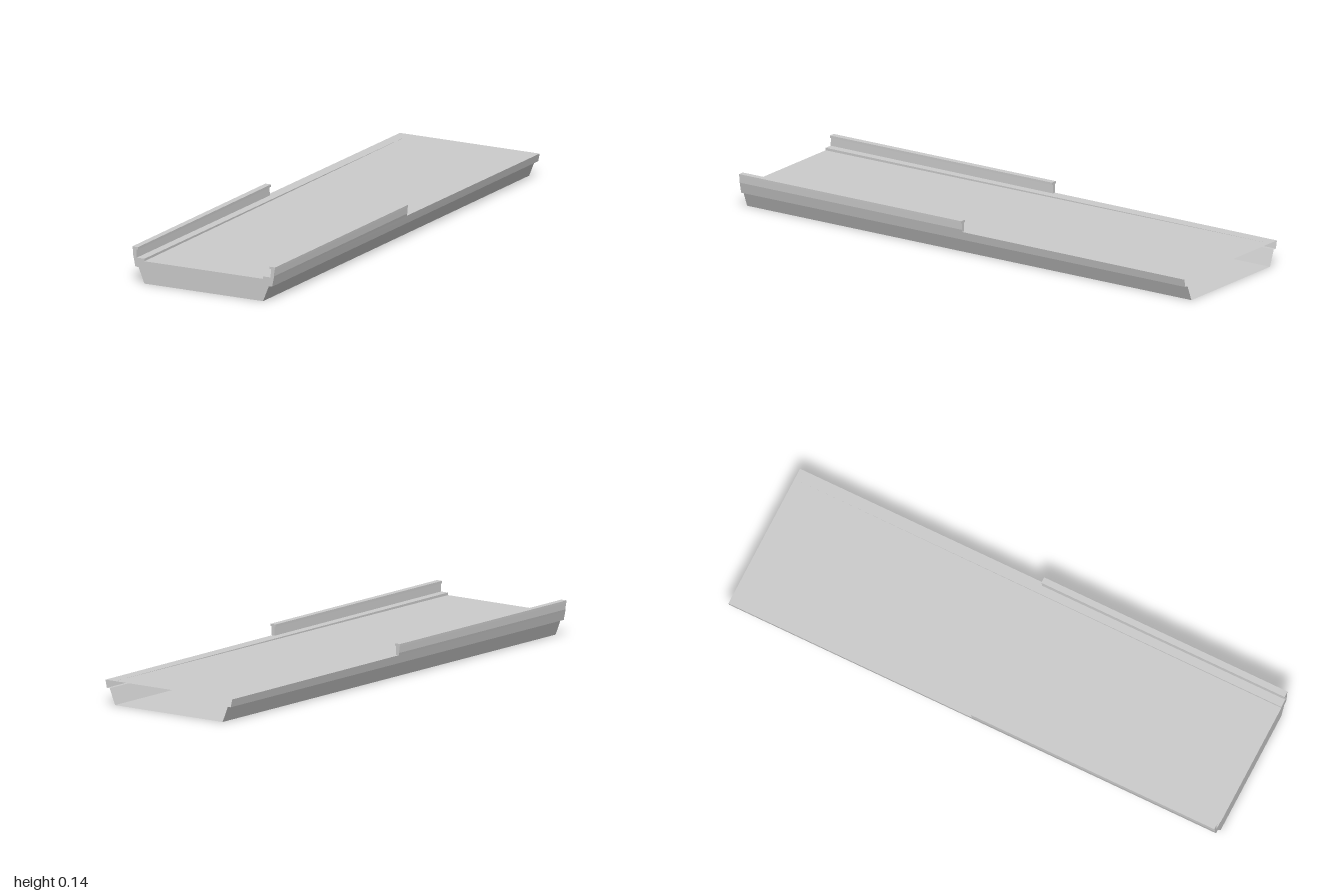
import * as THREE from 'three';

const material = new THREE.MeshStandardMaterial({
  color: 0xcccccc, flatShading: true, side: THREE.DoubleSide,
});

// Right half of a hull section, from keel to deck
const lower = [[0.25, 0], [0.2745, 0.06], [0.288, 0.06]];
const frontHalf = [...lower, [0.2955, 0.0945], [0.25, 0.0945], [0.25, 0.085]];
const backHalf = [...lower, [0.2945, 0.09], [0.25, 0.09], [0.25, 0.09]];

// Closed loop, counter-clockwise seen from +z
const mirrorLoop = (half) => [...half, ...half.map(([x, y]) => [-x, y]).reverse()];

const toShape = (points) => new THREE.Shape(points.map(([x, y]) => new THREE.Vector2(x, y)));

// Ruled surface between two sections with equal point counts
function loft(front, back, zFront, zBack) {
  const positions = [];
  front.forEach((f, i) => {
    const j = (i + 1) % front.length;
    const a = [...f, zFront], b = [...front[j], zFront];
    const c = [...back[j], zBack], d = [...back[i], zBack];
    positions.push(...a, ...d, ...b, ...b, ...d, ...c);
  });
  const geometry = new THREE.BufferGeometry();
  geometry.setAttribute('position', new THREE.Float32BufferAttribute(positions, 3));
  geometry.computeVertexNormals();
  return geometry;
}

function addMesh(group, name, geometry) {
  const mesh = new THREE.Mesh(geometry, material);
  mesh.name = name;
  group.add(mesh);
  return mesh;
}

export function createModel() {
  const group = new THREE.Group();
  group.name = 'channelTray';

  // Hollow body: the stepped deck blends into a flat one at the open back
  const front = mirrorLoop(frontHalf);
  addMesh(group, 'body', loft(front, mirrorLoop(backHalf), 1, -1));

  // Closed front end
  addMesh(group, 'frontWall', new THREE.ShapeGeometry(toShape(front))).position.z = 1;

  // Lipped side rails along the front half
  const rail = [
    [0.282, 0.09], [0.2945, 0.09], [0.297, 0.101], [0.2975, 0.126], [0.301, 0.126],
    [0.301, 0.135], [0.277, 0.135], [0.277, 0.126], [0.283, 0.126],
  ];
  for (const [name, side] of [['leftRail', 1], ['rightRail', -1]]) {
    const points = rail.map(([x, y]) => [x * side, y]);
    addMesh(group, name, new THREE.ExtrudeGeometry(toShape(points), { depth: 1, bevelEnabled: false }));
  }

  return group;
}
